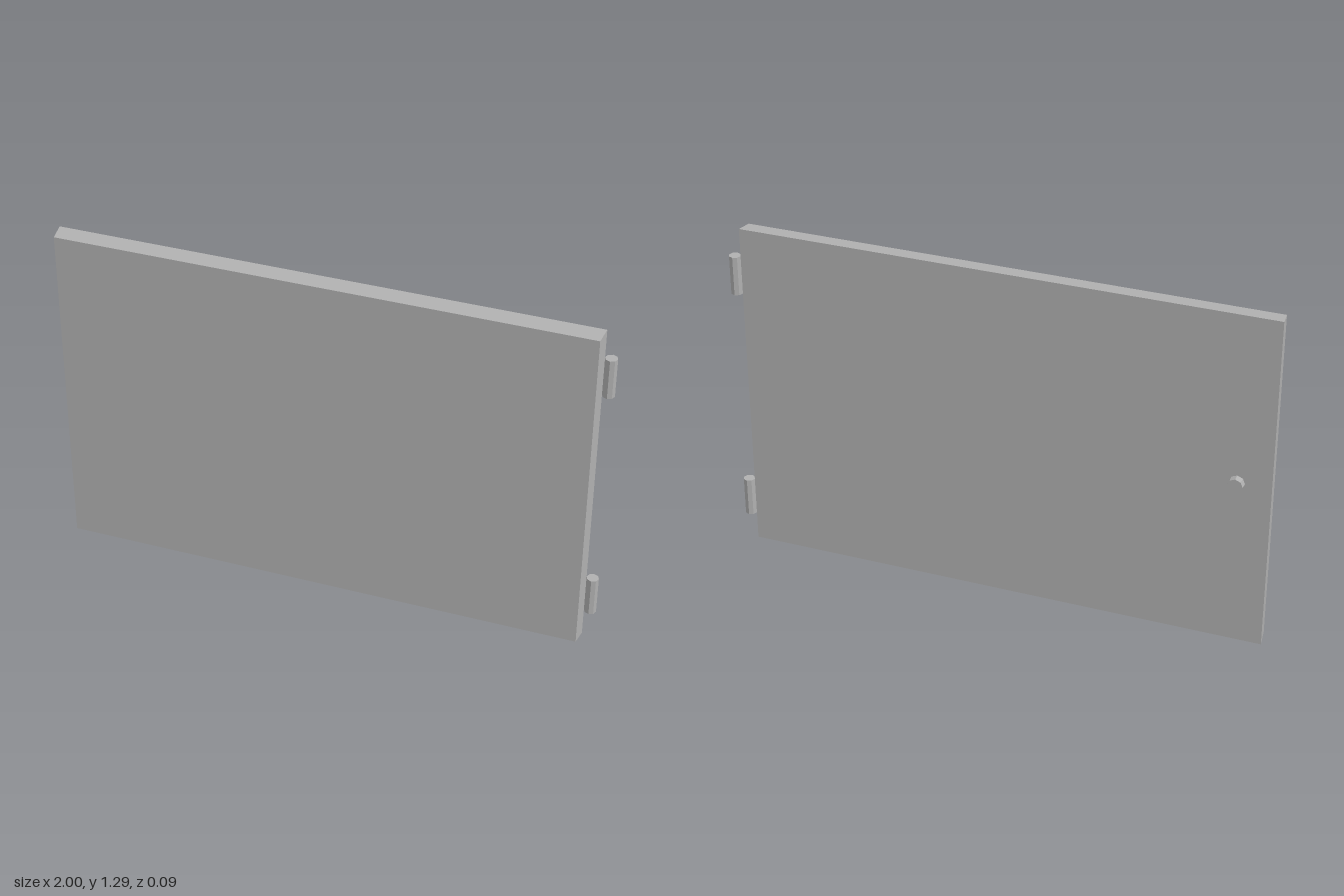
import * as THREE from 'three';

export function createModel() {
  const group = new THREE.Group();
  const grey = new THREE.MeshStandardMaterial({ color: 0xb0b0b0, flatShading: true });
  grey.name = 'plain grey';

  const add = (name, geometry, x, y, z) => {
    const mesh = new THREE.Mesh(geometry, grey);
    mesh.name = name;
    mesh.position.set(x, y, z);
    group.add(mesh);
    return mesh;
  };

  // Door panel: a slab whose front face is slightly smaller than its back
  const width = 1.956, height = 1.288, depth = 0.064, inset = 0.007;
  const slab = new THREE.BoxGeometry(width, height, depth);
  const p = slab.attributes.position;
  for (let i = 0; i < p.count; i++) {
    if (p.getZ(i) > 0) {
      p.setX(i, p.getX(i) - Math.sign(p.getX(i)) * inset);
      p.setY(i, p.getY(i) - Math.sign(p.getY(i)) * inset);
    }
  }
  slab.computeVertexNormals();
  add('doorPanel', slab, -0.022, height / 2, 0.015);

  // Two hinge barrels along the left edge
  for (const [name, y] of [['lowerHinge', 0.184], ['upperHinge', 1.108]]) {
    add(name, new THREE.CylinderGeometry(0.022, 0.022, 0.148, 8), 0.978, y, -0.017);
  }

  // Small knob on the back, near the free edge
  const knob = add('knob', new THREE.CylinderGeometry(0.028, 0.028, 0.032, 8), -0.877, 0.647, -0.029);
  knob.rotation.x = Math.PI / 2;

  return group;
}
